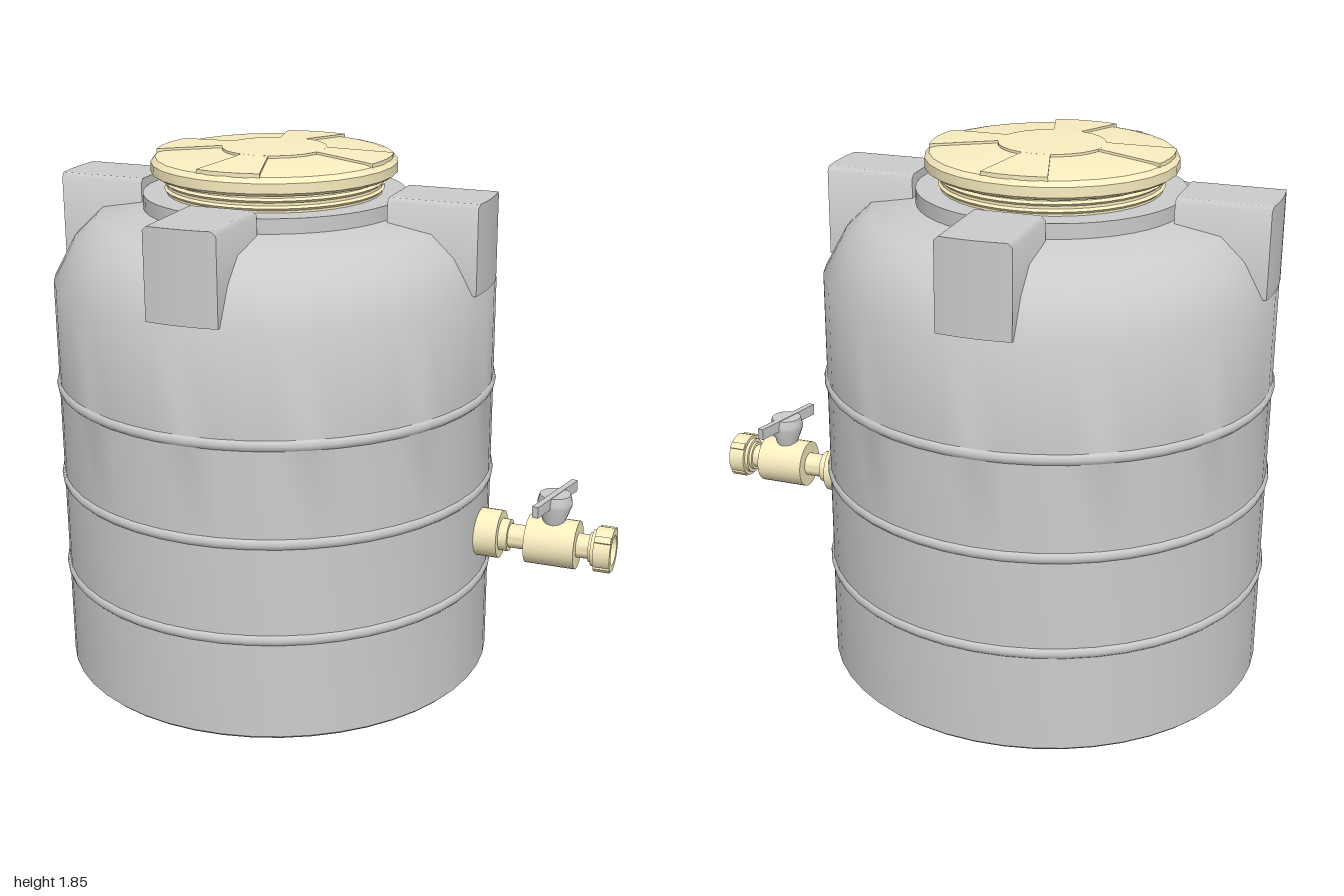
import * as THREE from 'three';
import { toCreasedNormals } from 'three/addons/utils/BufferGeometryUtils.js';

const grey = new THREE.MeshStandardMaterial({ color: 0xcccccc, side: THREE.DoubleSide });
const cream = new THREE.MeshStandardMaterial({ color: 0xfaeec0, side: THREE.DoubleSide });

function add(parent, name, geometry, material) {
  const mesh = new THREE.Mesh(geometry, material);
  mesh.name = name;
  parent.add(mesh);
  return mesh;
}

// Revolve [radius, height] pairs, keeping sharp edges sharp
function lathe(points, segments = 40, start = 0, sweep = Math.PI * 2) {
  const profile = points.map(([r, y]) => new THREE.Vector2(r, y));
  return toCreasedNormals(new THREE.LatheGeometry(profile, segments, start, sweep), 0.6);
}

// Block with softened top edges and an outer face curved to the given radius
function lugGeometry(radius) {
  const half = 0.123, bottom = 1.415, top = 1.718, inner = 0.447;
  const geometry = new THREE.BoxGeometry(half * 2, top - bottom, 1, 16, 1, 1);
  const p = geometry.attributes.position;
  for (let i = 0; i < p.count; i++) {
    const x = p.getX(i);
    const isTop = p.getY(i) > 0;
    const isEdge = Math.abs(x) > half - 0.001;
    p.setY(i, isTop ? top - (isEdge ? 0.014 : 0) : bottom);
    p.setZ(i, p.getZ(i) > 0 ? Math.sqrt(radius * radius - x * x) : inner);
  }
  return toCreasedNormals(geometry, 0.9);
}

function createTank() {
  const tank = new THREE.Group();
  tank.name = 'tank';
  const R = 0.763;

  // Wall with three rounded hoops, shoulder and collar
  const profile = [[0, 0], [R - 0.01, 0], [R, 0.01]];
  for (const y of [0.365, 0.705, 1.04]) {
    profile.push([R, y - 0.018], [R + 0.006, y - 0.012], [R + 0.009, y],
      [R + 0.006, y + 0.012], [R, y + 0.018]);
  }
  profile.push([R, 1.4], [0.69, 1.535], [0.612, 1.61], [0.45, 1.64], [0.45, 1.69], [0.36, 1.69]);
  add(tank, 'tankBody', lathe(profile, 48), grey);

  // Four shoulder lugs flush with the wall
  const lug = lugGeometry(R + 0.002);
  for (let i = 0; i < 4; i++) {
    add(tank, 'shoulderLug', lug, grey).rotation.y = i * Math.PI / 2;
  }
  return tank;
}

function createLid() {
  const lid = new THREE.Group();
  lid.name = 'lid';

  // Threaded neck
  const neck = [[0.368, 1.69]];
  for (const y of [1.705, 1.73]) neck.push([0.368, y - 0.008], [0.376, y], [0.368, y + 0.008]);
  neck.push([0.368, 1.765]);
  add(lid, 'threadedNeck', lathe(neck), cream);

  // Cap with a shallow dome
  add(lid, 'cap', lathe([[0, 1.75], [0.402, 1.75], [0.42, 1.762], [0.42, 1.795],
    [0.405, 1.812], [0.38, 1.818], [0.175, 1.831], [0, 1.836]], 28), cream);

  // Raised cross: hub and four tapering arms
  add(lid, 'capHub', lathe([[0.178, 1.828], [0.178, 1.839], [0, 1.845]], 36), cream);
  const arm = [[0.405, 1.81], [0.405, 1.824], [0.176, 1.839], [0.176, 1.829]];
  const spread = 0.275;
  const side = new THREE.ShapeGeometry(new THREE.Shape(arm.map(([r, y]) => new THREE.Vector2(r, y))));
  for (let i = 0; i < 4; i++) {
    const angle = i * Math.PI / 2;
    add(lid, 'capArm', lathe(arm, 6, angle - spread, spread * 2), cream);
    // Side walls of the arm
    for (const s of [-1, 1]) {
      add(lid, 'capArmSide', side, cream).rotation.y = angle + s * spread - Math.PI / 2;
    }
  }
  return lid;
}

function createTap() {
  const tap = new THREE.Group();
  tap.name = 'tap';
  tap.position.y = 0.537;

  // Pipe line turned along x, ending in an open spout
  const line = lathe([[0, 0.5], [0.084, 0.5], [0.084, 0.607], [0.056, 0.607], [0.056, 0.638],
    [0.042, 0.638], [0.042, 0.703], [0.084, 0.703], [0.084, 0.877], [0.042, 0.877], [0.042, 0.93],
    [0.064, 0.93], [0.064, 0.942], [0.076, 0.942], [0.076, 1], [0.052, 1], [0.052, 0.92],
    [0.034, 0.92], [0.034, 0.87]], 28);
  line.rotateZ(-Math.PI / 2);
  add(tap, 'pipeAndValveBody', line, cream);

  // Grip ribs on the spout nut
  for (let i = 0; i < 4; i++) {
    const angle = (i + 0.5) * Math.PI / 2;
    const rib = add(tap, 'gripRib', new THREE.BoxGeometry(0.056, 0.014, 0.024), cream);
    rib.position.set(0.971, Math.cos(angle) * 0.074, Math.sin(angle) * 0.074);
    rib.rotation.x = angle;
  }

  // Valve ball seen through the spout
  const ball = add(tap, 'valveBall', new THREE.CircleGeometry(0.04, 20), grey);
  ball.rotation.y = Math.PI / 2;
  ball.position.x = 0.88;

  // Flared stem and lever
  const handle = new THREE.Group();
  handle.name = 'handle';
  handle.position.x = 0.79;
  handle.rotation.y = -0.24;
  add(handle, 'stem', lathe([[0.036, 0.06], [0.04, 0.085], [0.06, 0.14], [0.06, 0.152],
    [0.053, 0.178], [0, 0.178]], 20), grey);
  add(handle, 'lever', new THREE.BoxGeometry(0.022, 0.04, 0.295), grey).position.y = 0.16;
  tap.add(handle);
  return tap;
}

export function createModel() {
  const model = new THREE.Group();
  model.name = 'waterTank';
  const tank = createTank();
  const lid = createLid();
  tank.position.x = lid.position.x = -0.231;
  model.add(tank, lid, createTap());
  return model;
}
